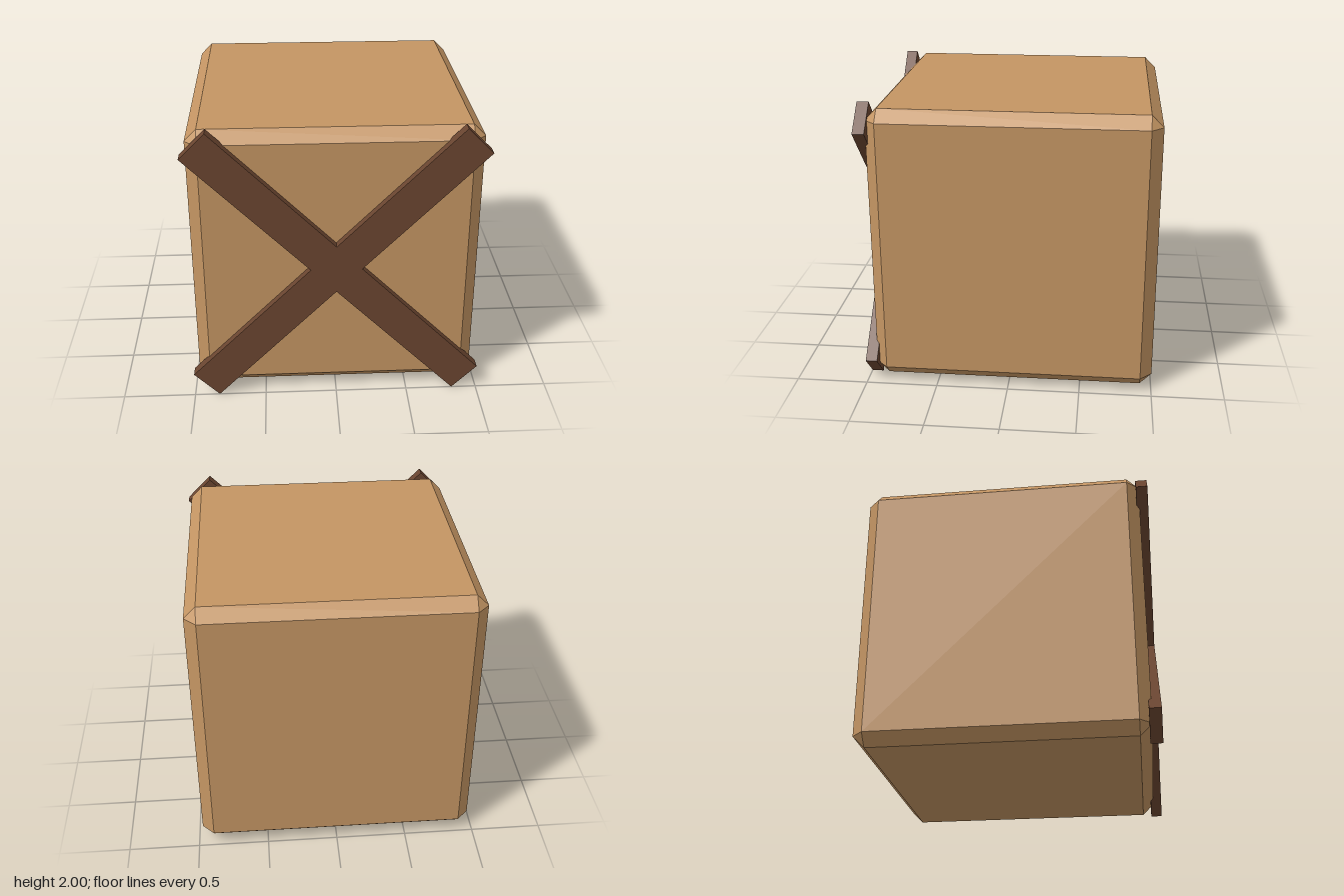
import * as THREE from 'three';
import { ConvexGeometry } from 'three/addons/geometries/ConvexGeometry.js';

// Cube with flat chamfered edges and triangular corners
function chamferedCube(half, chamfer) {
  const inner = half - chamfer;
  const points = [];
  for (const x of [-1, 1]) for (const y of [-1, 1]) for (const z of [-1, 1]) {
    points.push(
      new THREE.Vector3(x * half, y * inner, z * inner),
      new THREE.Vector3(x * inner, y * half, z * inner),
      new THREE.Vector3(x * inner, y * inner, z * half)
    );
  }
  return new ConvexGeometry(points);
}

// Outline of a plus sign: four equal arms of the given reach and half width
function crossShape(reach, halfWidth) {
  const points = [];
  for (let i = 0; i < 4; i++) {
    for (const [x, y] of [[reach, -halfWidth], [reach, halfWidth], [halfWidth, halfWidth]]) {
      points.push(new THREE.Vector2(x, y).rotateAround(new THREE.Vector2(), i * Math.PI / 2));
    }
  }
  return new THREE.Shape(points);
}

export function createModel() {
  const lightWood = new THREE.MeshStandardMaterial({ name: 'lightWood', color: 0xc49563 });
  const darkWood = new THREE.MeshStandardMaterial({ name: 'darkWood', color: 0x6a4530 });

  const model = new THREE.Group();
  model.name = 'crate';

  // Crate body
  const body = new THREE.Mesh(chamferedCube(0.97, 0.081), lightWood);
  body.name = 'crateBody';
  body.position.set(0, 1.003, -0.03);
  model.add(body);

  // Diagonal planks crossing the front
  const planks = new THREE.Mesh(
    new THREE.ExtrudeGeometry(crossShape(1.292, 0.122), { depth: 0.08, bevelEnabled: false }),
    darkWood
  );
  planks.name = 'crossedPlanks';
  planks.position.set(0, 1, 0.92);
  planks.rotation.z = Math.PI / 4;
  model.add(planks);

  return model;
}
